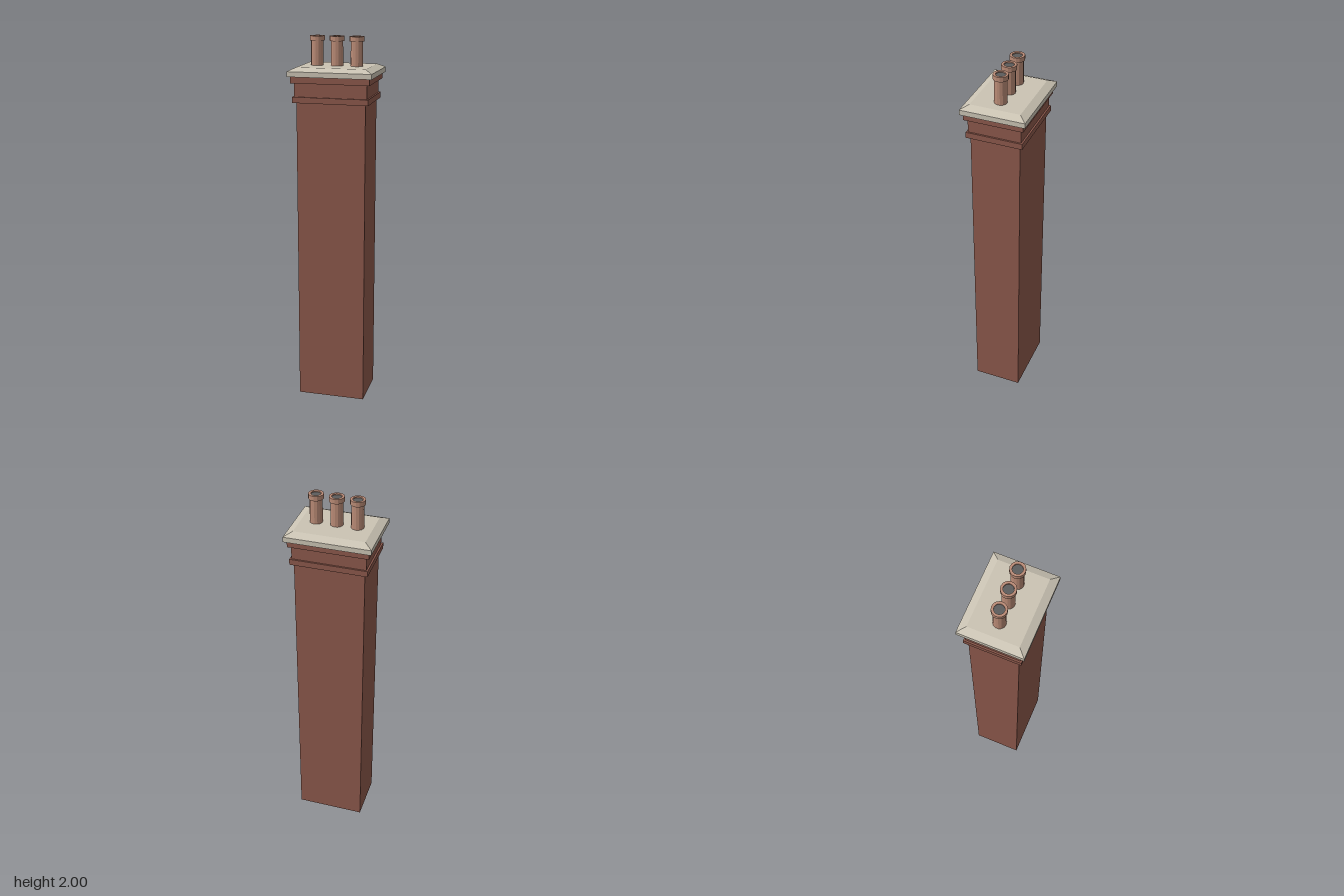
import * as THREE from 'three';

const material = (name, color) => {
  const m = new THREE.MeshStandardMaterial({ color });
  m.name = name;
  return m;
};

export function createModel() {
  const brick = material('red brick', 0x8c584b);
  const stone = material('pale stone', 0xcbc4b4);
  const clay = material('terracotta', 0xba8b76);
  const soot = material('soot grey', 0x5c5c5c);

  const model = new THREE.Group();
  model.name = 'chimney';

  const add = (name, geometry, mat, parent = model) => {
    const mesh = new THREE.Mesh(geometry, mat);
    mesh.name = name;
    parent.add(mesh);
    return mesh;
  };

  // Box given by its half width, half depth, bottom and top
  const block = (name, hx, hz, y0, y1, mat) => {
    const mesh = add(name, new THREE.BoxGeometry(hx * 2, y1 - y0, hz * 2), mat);
    mesh.position.y = (y0 + y1) / 2;
    return mesh;
  };

  // Brick stack with two projecting courses
  block('shaft', 0.185, 0.132, 0, 1.664, brick);
  block('lowerCourse', 0.203, 0.15, 1.664, 1.695, brick);
  block('neck', 0.194, 0.141, 1.695, 1.767, brick);
  block('upperCourse', 0.21, 0.157, 1.767, 1.801, brick);

  // Stone cap: a flat slab, then a slab whose top edges are drawn in
  block('capSlab', 0.225, 0.172, 1.801, 1.828, stone);
  const slope = block('capSlope', 0.225, 0.172, 1.828, 1.847, stone);
  const p = slope.geometry.attributes.position;
  for (let i = 0; i < p.count; i++) {
    if (p.getY(i) > 0) {
      p.setX(i, Math.sign(p.getX(i)) * 0.185);
      p.setZ(i, Math.sign(p.getZ(i)) * 0.133);
    }
  }
  slope.geometry = slope.geometry.toNonIndexed();
  slope.geometry.computeVertexNormals();

  // Three clay pots with a collar and a sooty mouth
  const sides = 14;
  const flat = (points) => {
    const g = new THREE.LatheGeometry(points.map(([r, y]) => new THREE.Vector2(r, y)), sides).toNonIndexed();
    g.computeVertexNormals();
    return g;
  };
  const potShell = flat([[0.033, 1.847], [0.032, 1.975], [0.039, 1.975], [0.039, 2], [0.026, 2], [0.026, 1.992]]);
  const mouth = new THREE.CircleGeometry(0.026, sides).rotateX(-Math.PI / 2);
  for (const [side, x] of [['right', -0.107], ['middle', 0], ['left', 0.107]]) {
    const pot = new THREE.Group();
    pot.name = side + 'Pot';
    pot.position.x = x;
    add('potShell', potShell, clay, pot);
    add('potMouth', mouth, soot, pot).position.y = 1.994;
    model.add(pot);
  }

  return model;
}
